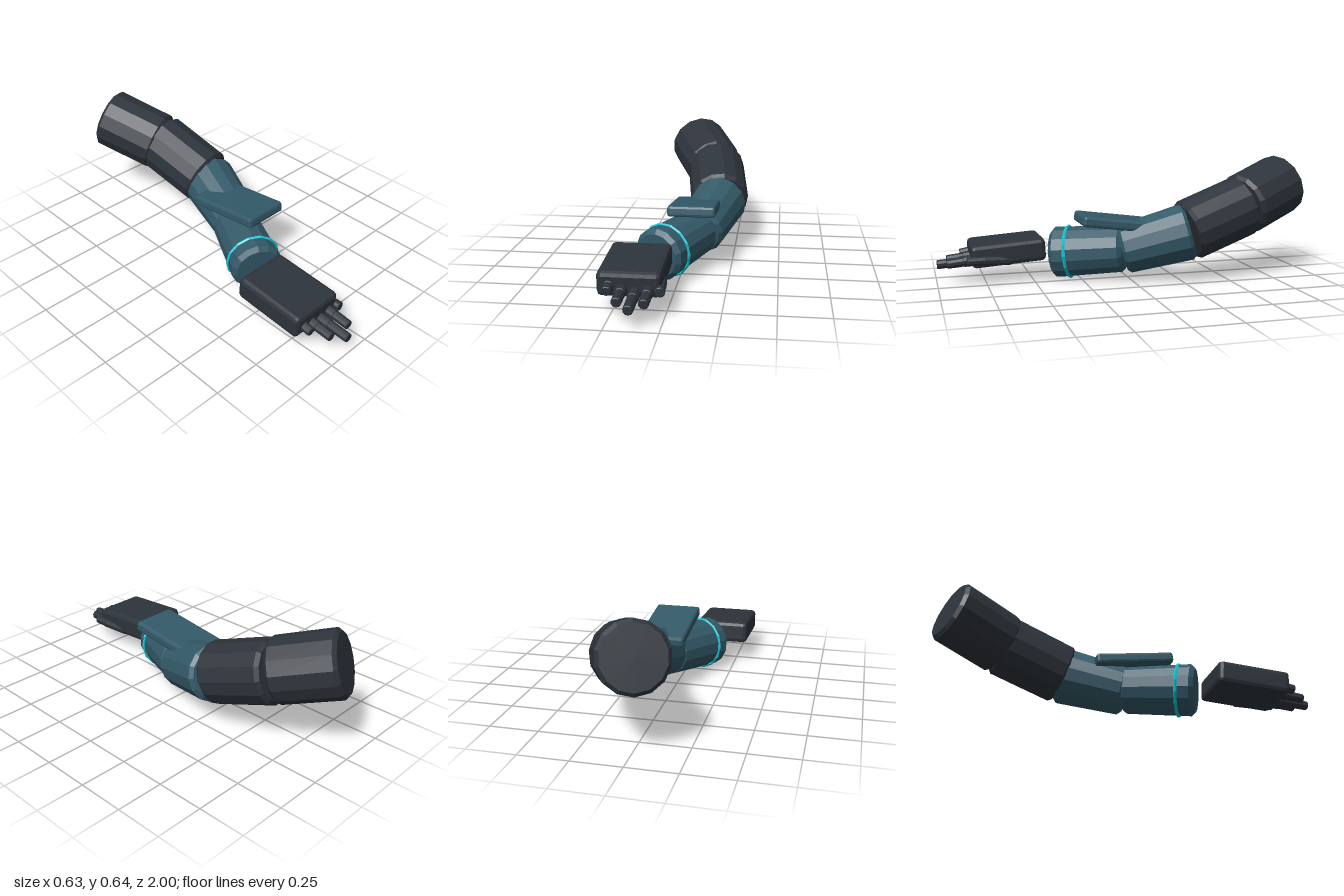
import * as THREE from 'three';
import { RoundedBoxGeometry } from 'three/addons/geometries/RoundedBoxGeometry.js';

const flat = (name, color) => {
  const m = new THREE.MeshStandardMaterial({ color, flatShading: true });
  m.name = name;
  return m;
};

const UP = new THREE.Vector3(0, 1, 0);

export function createModel() {
  const arm = new THREE.Group();
  arm.name = 'mechanicalArm';
  const charcoal = flat('charcoal', 0x2e343c);
  const teal = flat('teal', 0x345a69);
  const cyan = flat('cyan', 0x10c5d4);

  const add = (name, geometry, material, parent = arm) => {
    const mesh = new THREE.Mesh(geometry, material);
    mesh.name = name;
    parent.add(mesh);
    return mesh;
  };

  // Tapered cylinder with chamfered rims, running from one point to another
  const segment = (name, from, to, r0, r1, bevel, sides, material, parent) => {
    const a = new THREE.Vector3(...from);
    const axis = new THREE.Vector3(...to).sub(a);
    const len = axis.length();
    const profile = [
      [0, 0], [r0 - bevel, 0], [r0, bevel],
      [r1, len - bevel], [r1 - bevel, len], [0, len],
    ].map(([x, y]) => new THREE.Vector2(x, y));
    const mesh = add(name, new THREE.LatheGeometry(profile, sides), material, parent);
    mesh.position.copy(a);
    mesh.quaternion.setFromUnitVectors(UP, axis.normalize());
    return mesh;
  };

  // Arm segments, shoulder to wrist
  segment('shoulderSegment', [-0.035, 0.485, -0.925], [0.1, 0.385, -0.62], 0.17, 0.168, 0.018, 14, charcoal);
  segment('upperArmSegment', [0.105, 0.388, -0.635], [0.156, 0.268, -0.285], 0.166, 0.163, 0.018, 14, charcoal);
  segment('elbowSegment', [0.162, 0.268, -0.3], [0.07, 0.17, 0.045], 0.152, 0.132, 0.018, 14, teal);
  const wrist = [-0.108, 0.14, 0.38];
  const elbow = [0.065, 0.172, 0.03];
  segment('forearmSegment', elbow, wrist, 0.125, 0.138, 0.022, 14, teal);

  // Glowing band around the cuff
  const band = add('cuffBand', new THREE.TorusGeometry(0.137, 0.009, 5, 14), cyan);
  band.position.set(-0.068, 0.147, 0.3);
  band.quaternion.setFromUnitVectors(
    new THREE.Vector3(0, 0, 1),
    new THREE.Vector3(...wrist).sub(new THREE.Vector3(...elbow)).normalize());

  // Guard plate lying on the forearm, raised at its front
  const plate = add('guardPlate', new RoundedBoxGeometry(0.245, 0.056, 0.425, 1, 0.014), teal);
  plate.position.set(0.054, 0.316, 0.067);
  plate.rotation.x = -0.132;

  // Hand: palm, four fingers and thumb
  const hand = new THREE.Group();
  hand.name = 'hand';
  arm.add(hand);
  const palm = add('palm', new RoundedBoxGeometry(0.297, 0.12, 0.388, 1, 0.022), charcoal, hand);
  palm.position.set(-0.165, 0.161, 0.632);
  palm.rotation.x = 0.07;

  // Each finger: x, tip height, knuckle z, tip z
  [
    [-0.256, 0.132, 0.825, 0.87],
    [-0.197, 0.112, 0.86, 0.945],
    [-0.135, 0.1, 0.885, 0.998],
    [-0.075, 0.111, 0.865, 0.95],
  ].forEach(([x, y, zMid, zTip], i) => {
    const finger = new THREE.Group();
    finger.name = 'finger' + (i + 1);
    hand.add(finger);
    segment('knuckle', [x, y + 0.022, 0.76], [x, y + 0.009, zMid], 0.029, 0.028, 0.004, 10, charcoal, finger);
    segment('fingertip', [x, y + 0.01, zMid - 0.01], [x, y, zTip], 0.025, 0.024, 0.004, 10, charcoal, finger);
  });

  const thumb = new THREE.Group();
  thumb.name = 'thumb';
  hand.add(thumb);
  segment('thumbBase', [-0.045, 0.125, 0.62], [-0.026, 0.13, 0.77], 0.029, 0.028, 0.004, 10, charcoal, thumb);
  segment('thumbTip', [-0.027, 0.13, 0.755], [-0.018, 0.13, 0.85], 0.025, 0.024, 0.004, 10, charcoal, thumb);

  return arm;
}
